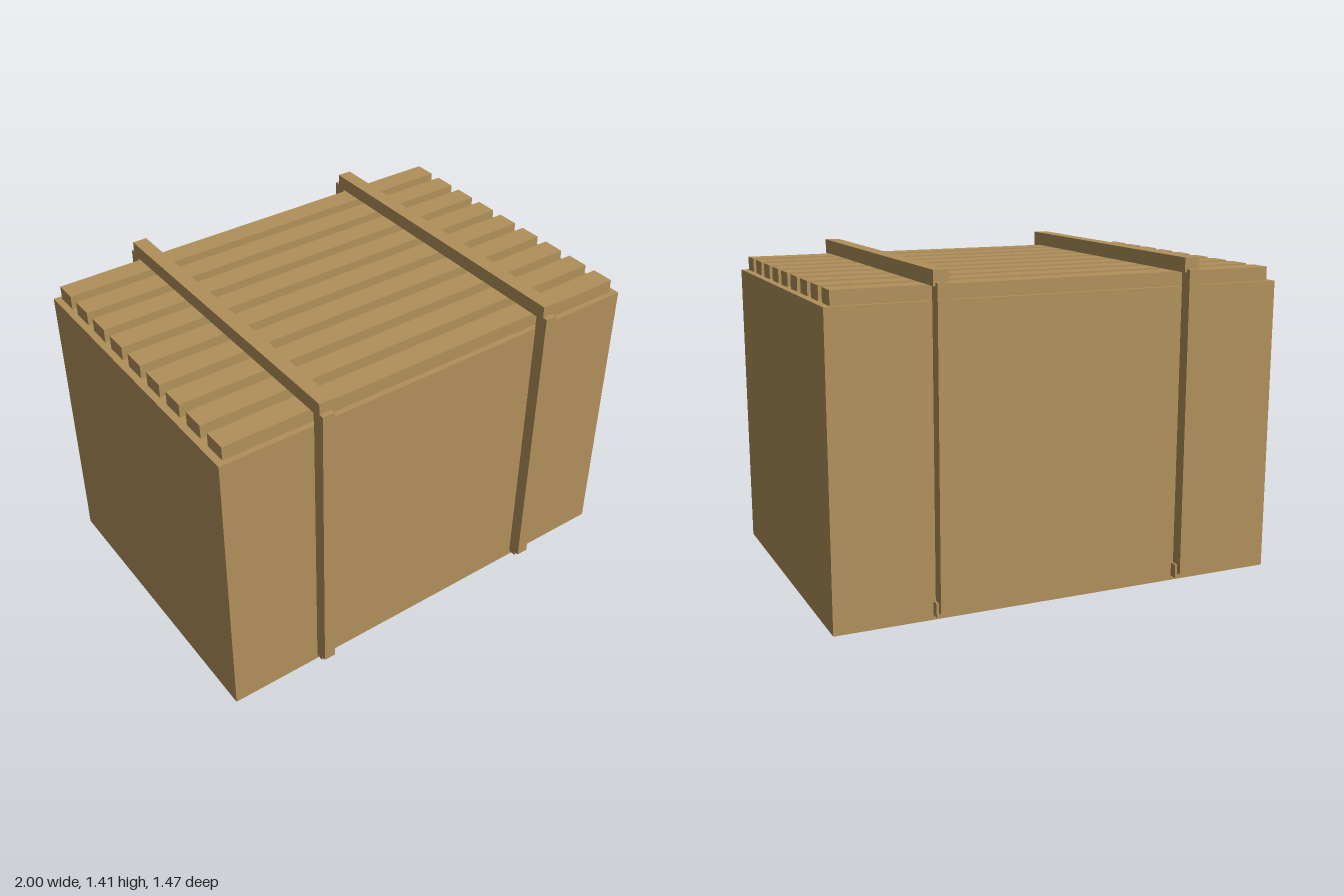
import * as THREE from 'three';

export function createModel() {
  const model = new THREE.Group();
  const wood = new THREE.MeshStandardMaterial({ color: 0xb0905a });
  wood.name = 'plain wood';

  // Box given by its minimum and maximum on each axis
  const addBox = (parent, name, [x0, x1], [y0, y1], [z0, z1]) => {
    const mesh = new THREE.Mesh(new THREE.BoxGeometry(x1 - x0, y1 - y0, z1 - z0), wood);
    mesh.position.set((x0 + x1) / 2, (y0 + y1) / 2, (z0 + z1) / 2);
    mesh.name = name;
    parent.add(mesh);
  };

  // Crate body
  addBox(model, 'crateBody', [-1, 1], [0, 1.287], [-0.68, 0.68]);

  // Spaced lid slats
  const lid = new THREE.Group();
  lid.name = 'lidSlats';
  for (let i = 0; i < 9; i++) {
    const z = -0.003 + (i - 4) * 0.152;
    addBox(lid, 'lidSlat', [-0.97, 0.97], [1.287, 1.347], [z - 0.05, z + 0.05]);
  }
  model.add(lid);

  // Two frames wrapped around the crate: top bar, bottom bar and upright posts
  for (const x of [-0.588, 0.519]) {
    const frame = new THREE.Group();
    frame.name = x < 0 ? 'rightFrame' : 'leftFrame';
    addBox(frame, 'topBar', [x, x + 0.064], [1.347, 1.409], [-0.715, 0.715]);
    addBox(frame, 'bottomBar', [x, x + 0.064], [0.02, 0.08], [-0.715, 0.715]);
    addBox(frame, 'frontPost', [x, x + 0.054], [0.04, 1.36], [0.678, 0.737]);
    addBox(frame, 'backPost', [x, x + 0.054], [0.04, 1.36], [-0.737, -0.678]);
    model.add(frame);
  }
  return model;
}
